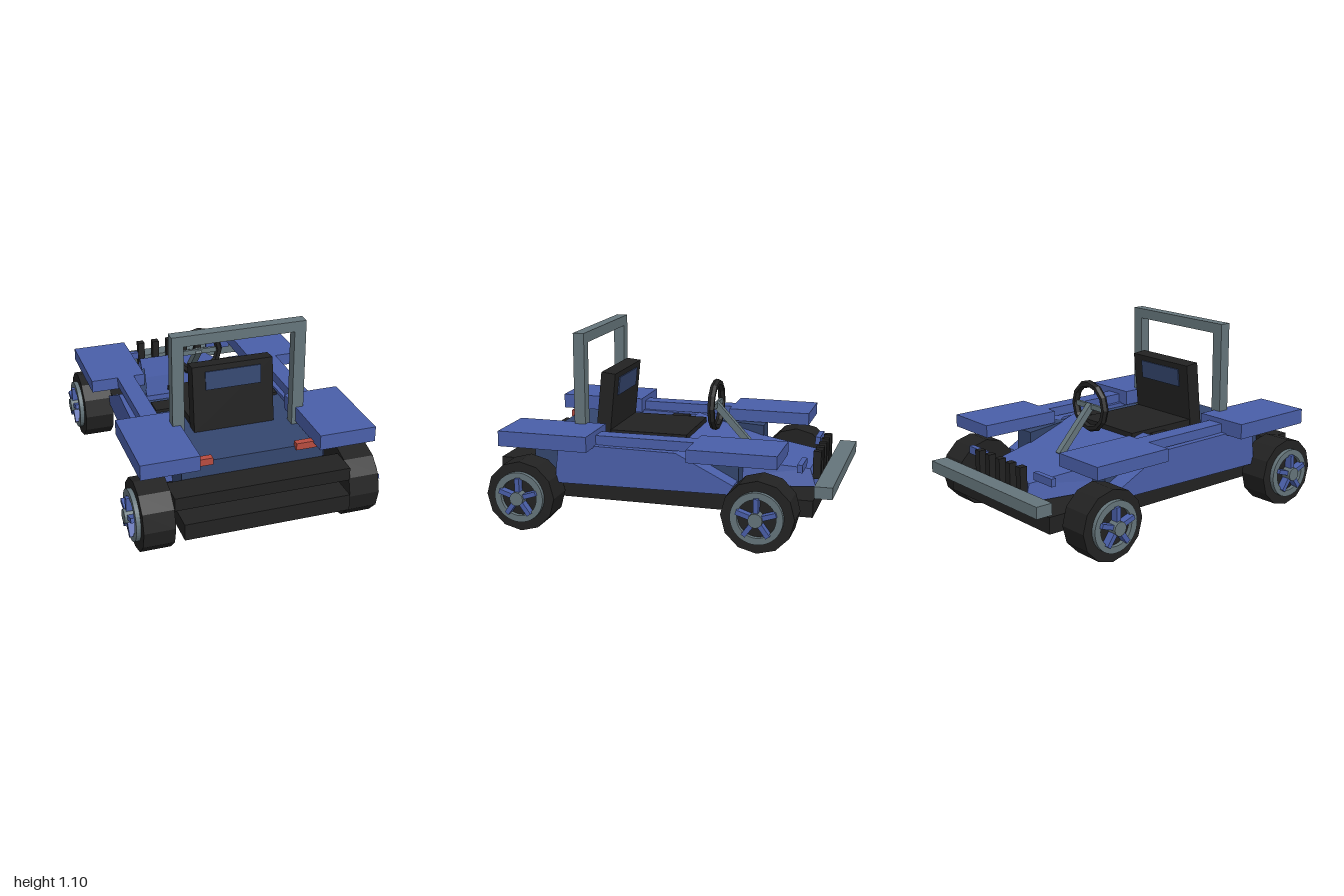
import * as THREE from 'three';

const mat = (name, color) => {
  const m = new THREE.MeshStandardMaterial({ color });
  m.name = name;
  m.flatShading = true;
  return m;
};

export function createModel() {
  const blue = mat('blue paint', 0x4a5fa9);
  const navy = mat('navy panel', 0x34466f);
  const black = mat('black rubber', 0x222222);
  const grey = mat('grey metal', 0x65757b);
  const red = mat('red lamp', 0xb84c40);
  const car = new THREE.Group();
  car.name = 'buggy';

  const add = (name, geo, material, parent = car) => {
    const mesh = new THREE.Mesh(geo, material);
    mesh.name = name;
    parent.add(mesh);
    return mesh;
  };
  // Box given by its limits on each axis
  const box = (name, material, [x0, x1], [y0, y1], [z0, z1], parent = car) => {
    const mesh = add(name, new THREE.BoxGeometry(x1 - x0, y1 - y0, z1 - z0), material, parent);
    mesh.position.set((x0 + x1) / 2, (y0 + y1) / 2, (z0 + z1) / 2);
    return mesh;
  };
  const polygon = (pts) => new THREE.Shape(pts.map(([a, b]) => new THREE.Vector2(a, b)));
  // Side profile (z, y) extruded across x, with x from 0 to 1 remapped by a rule
  const sideSolid = (pts, rule) => {
    const geo = new THREE.ExtrudeGeometry(polygon(pts), { depth: 1, bevelEnabled: false });
    geo.rotateY(-Math.PI / 2).translate(1, 0, 0);
    const p = geo.attributes.position;
    for (let i = 0; i < p.count; i++) p.setX(i, rule(p.getX(i), p.getY(i), p.getZ(i)));
    geo.computeVertexNormals();
    return geo;
  };

  // Chassis and rear bumper
  box('chassis', black, [-0.47, 0.47], [0.16, 0.255], [-0.89, 1]);
  box('rearBumper', black, [-0.5, 0.5], [0.3, 0.375], [0.755, 0.925]);

  // Cabin tub with a tapered notch that the hood drops into
  const tub = new THREE.ExtrudeGeometry(polygon([
    [-0.41, 0.755], [-0.41, -0.46], [-0.28, -0.46], [-0.375, -0.03],
    [0.375, -0.03], [0.28, -0.46], [0.41, -0.46], [0.41, 0.755],
  ]), { depth: 0.2, bevelEnabled: false });
  tub.rotateX(Math.PI / 2).translate(0, 0.468, 0);
  add('tub', tub, navy);

  // Tapering hood
  add('hood', sideSolid(
    [[-0.022, 0.262], [-0.022, 0.5], [-0.46, 0.405], [-0.83, 0.362], [-0.865, 0.262]],
    (x, y, z) => (x - 0.5) * 2 * (0.213 + (z + 0.83) * 0.212 + (y < 0.3 ? 0.02 : 0)),
  ), blue);

  // Front bumper and grille bars
  box('frontBumper', grey, [-0.51, 0.51], [0.283, 0.35], [-1, -0.9]);
  for (let i = -2; i <= 2; i++) {
    box('grilleBar', black, [i * 0.098 - 0.021, i * 0.098 + 0.021], [0.305, 0.465], [-0.89, -0.845]);
  }

  // Seat
  box('seatCushion', black, [-0.232, 0.232], [0.42, 0.51], [-0.11, 0.4]);
  box('seatCrossBar', black, [-0.375, 0.375], [0.45, 0.485], [0.03, 0.14]);
  const back = new THREE.Group();
  back.name = 'seatBack';
  back.position.set(0, 0.655, 0.378);
  back.rotation.x = -0.1;
  car.add(back);
  box('seatBackPad', black, [-0.237, 0.237], [-0.19, 0.195], [-0.043, 0.043], back);
  box('seatBackPanel', navy, [-0.163, 0.163], [0.055, 0.162], [-0.05, 0.05], back);

  // Roll bar
  box('rollBarTop', grey, [-0.385, 0.385], [1.04, 1.1], [0.45, 0.515]);

  // Steering wheel and column
  const ring = add('steeringWheel', new THREE.TorusGeometry(0.133, 0.022, 6, 12), black);
  ring.position.set(0, 0.648, -0.23);
  box('steeringSpoke', grey, [-0.125, 0.125], [0.633, 0.663], [-0.24, -0.222]);
  const columnCurve = new THREE.LineCurve3(new THREE.Vector3(0, 0.655, -0.225), new THREE.Vector3(0, 0.4, -0.46));
  const column = add('steeringColumn', new THREE.BoxGeometry(0.038, 0.038, columnCurve.getLength()), grey);
  column.position.copy(columnCurve.getPoint(0.5));
  column.lookAt(columnCurve.v2);

  // Axles
  const wheelZ = [-0.625, 0.74];
  for (const z of wheelZ) {
    const axle = add('axle', new THREE.CylinderGeometry(0.026, 0.026, 1.2, 8), grey);
    axle.rotation.z = Math.PI / 2;
    axle.position.set(0, 0.205, z);
  }

  // Wheel, built around x with its outer face towards +x times side
  const makeWheel = (side, z) => {
    const wheel = new THREE.Group();
    wheel.name = 'wheel';
    wheel.position.set(side * 0.5, 0.203, z);
    const disc = (name, r, x0, x1, sides, material) => {
      const geo = new THREE.CylinderGeometry(r, r, x1 - x0, sides);
      geo.rotateZ(Math.PI / 2).rotateX(Math.PI / 2);
      add(name, geo, material, wheel).position.x = side * (x0 + x1) / 2;
    };
    disc('tyre', 0.203, 0, 0.175, 12, black);
    const rimShape = new THREE.Shape().absarc(0, 0, 0.145, 0, Math.PI * 2);
    rimShape.holes.push(new THREE.Path().absarc(0, 0, 0.107, 0, Math.PI * 2));
    const rim = new THREE.ExtrudeGeometry(rimShape, { depth: 0.035, bevelEnabled: false, curveSegments: 20 });
    rim.rotateY(Math.PI / 2).translate(side > 0 ? 0.165 : -0.2, 0, 0);
    add('rim', rim, grey, wheel);
    for (let i = 0; i < 5; i++) {
      const spoke = new THREE.BoxGeometry(0.045, 0.115, 0.027);
      spoke.translate(side * 0.198, 0.0575, 0).rotateX(i * Math.PI * 0.4);
      add('spoke', spoke, blue, wheel);
    }
    disc('hub', 0.04, 0.17, 0.235, 12, grey);
    car.add(wheel);
  };

  // Parts repeated on each side
  for (const s of [1, -1]) {
    const mirrorBox = (name, material, [x0, x1], y, z) =>
      box(name, material, s > 0 ? [x0, x1] : [-x1, -x0], y, z);

    for (const z of wheelZ) makeWheel(s, z);
    mirrorBox('frontFender', blue, [0.343, 0.667], [0.472, 0.545], [-0.725, -0.228]);
    mirrorBox('rearFender', blue, [0.34, 0.667], [0.485, 0.573], [0.342, 0.868]);
    mirrorBox('sideRail', blue, [0.41, 0.51], [0.49, 0.545], [-0.24, 0.35]);
    mirrorBox('headlampBracket', blue, [0.235, 0.395], [0.385, 0.43], [-0.815, -0.785]);
    mirrorBox('tailLamp', red, [0.24, 0.385], [0.455, 0.495], [0.74, 0.78]);
    mirrorBox('rollBarPost', grey, [0.318, 0.385], [0.46, 1.045], [0.45, 0.515]);

    // Side pod, widening towards the rear
    add('sidePod', sideSolid(
      [[0.575, 0.265], [0.55, 0.497], [-0.13, 0.482], [-0.455, 0.316], [-0.455, 0.265]],
      (x, y, z) => {
        const inner = 0.385, outer = 0.535 + z * 0.04;
        return s > 0 ? inner + (outer - inner) * x : -outer + (outer - inner) * x;
      },
    ), blue);
  }
  return car;
}
